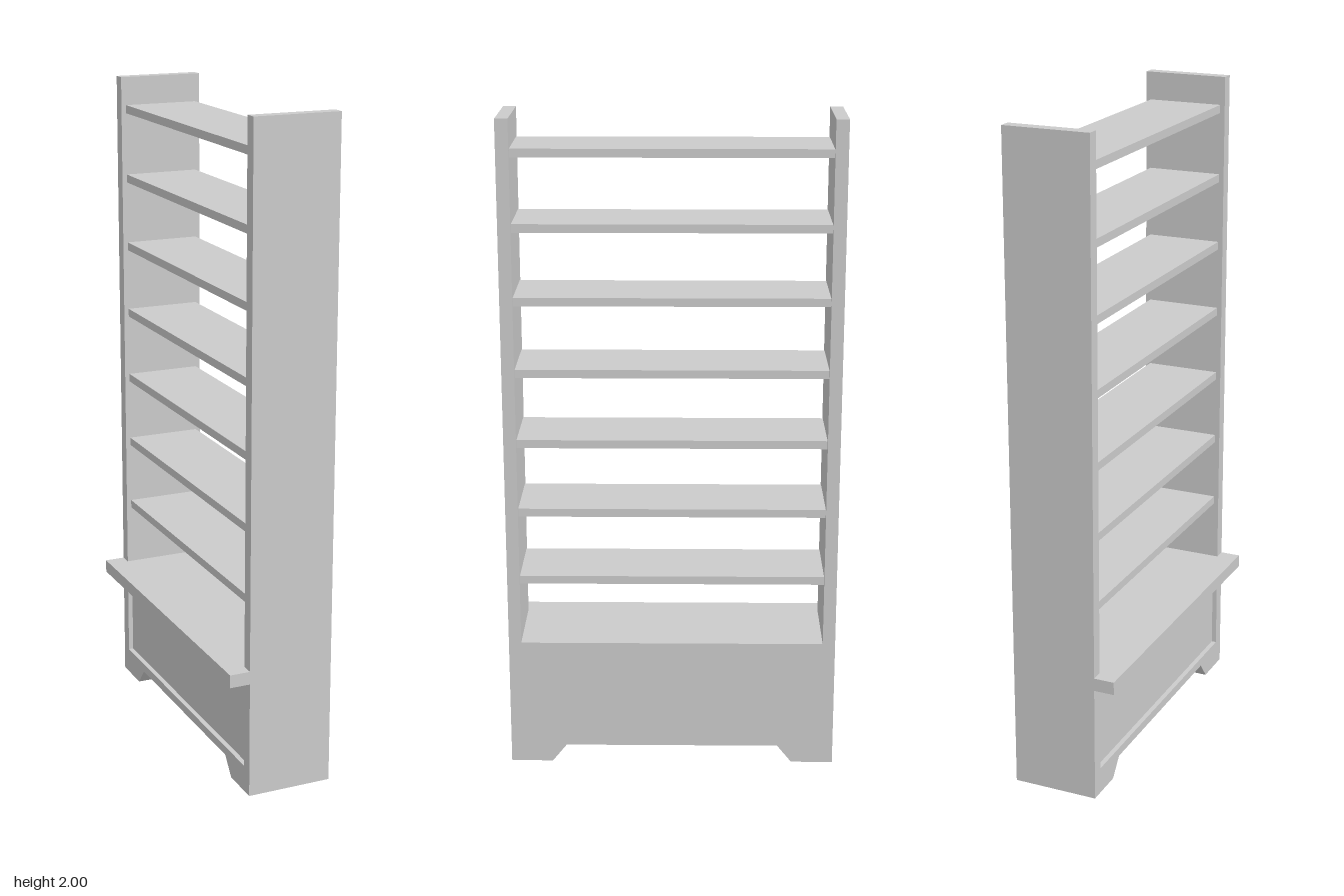
import * as THREE from 'three';

const material = new THREE.MeshStandardMaterial({ color: 0xcccccc, flatShading: true });

const BACK = 0.163;   // flush face of the cabinet
const FACE = -0.1;    // shelf-side edge of the uprights
const INSET = -0.085; // shelf edges and recessed panel
const HALF = 0.5;     // half width of the unit
const INNER = 0.462;  // inner face of the uprights

// Box given by its extents
function block(name, x0, x1, y0, y1, z0, z1) {
  const mesh = new THREE.Mesh(new THREE.BoxGeometry(x1 - x0, y1 - y0, z1 - z0), material);
  mesh.position.set((x0 + x1) / 2, (y0 + y1) / 2, (z0 + z1) / 2);
  mesh.name = name;
  return mesh;
}

export function createModel() {
  const model = new THREE.Group();
  model.name = 'shelvingUnit';

  // Plinth with a tapered cut-out between the two feet
  const floorTop = 0.082;
  const outline = new THREE.Shape([
    [-HALF, 0], [-0.372, 0], [-0.328, 0.055], [0.328, 0.055],
    [0.372, 0], [HALF, 0], [HALF, floorTop], [-HALF, floorTop],
  ].map(([z, y]) => new THREE.Vector2(z, y)));
  const plinthGeometry = new THREE.ExtrudeGeometry(outline, { depth: BACK - FACE, bevelEnabled: false });
  plinthGeometry.rotateY(Math.PI / 2).translate(FACE, 0, 0);
  const plinth = new THREE.Mesh(plinthGeometry, material);
  plinth.name = 'plinth';
  model.add(plinth);

  // Uprights at both ends
  model.add(block('leftUpright', FACE, BACK, floorTop, 2, INNER, HALF));
  model.add(block('rightUpright', FACE, BACK, floorTop, 2, -HALF, -INNER));

  // Closed cabinet with a recessed panel, and the ledge above it
  model.add(block('cabinet', INSET, BACK, floorTop, 0.4, -INNER, INNER));
  model.add(block('ledge', -0.163, INSET, 0.36, 0.4, -HALF, HALF));

  // Evenly spaced shelves
  for (let i = 0; i < 7; i++) {
    const y = 0.602 + i * 0.2165;
    model.add(block(`shelf${i + 1}`, INSET, 0.148, y - 0.0125, y + 0.0125, -INNER, INNER));
  }

  return model;
}
